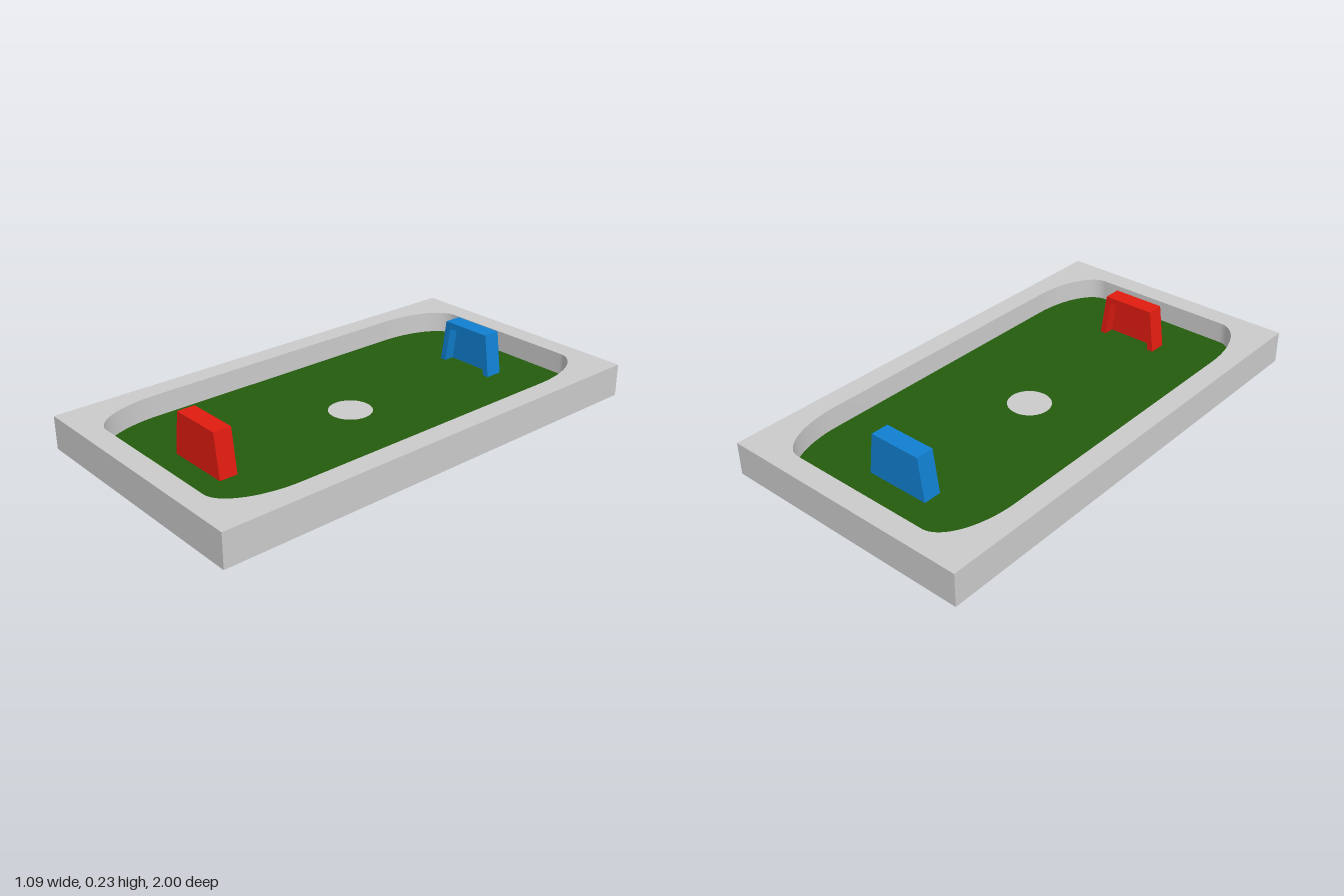
import * as THREE from 'three';
import { toCreasedNormals } from 'three/addons/utils/BufferGeometryUtils.js';

const RIM_Y = 0.138, FLOOR_Y = 0.047;
const HALF_X = 0.545, HALF_Z = 1;

const grey = new THREE.MeshStandardMaterial({ color: 0xcccccc });
const green = new THREE.MeshStandardMaterial({ color: 0x245c0e });
const red = new THREE.MeshStandardMaterial({ color: 0xe01c10 });
const blue = new THREE.MeshStandardMaterial({ color: 0x107fd0 });

function addMesh(parent, name, geometry, material) {
  const mesh = new THREE.Mesh(geometry, material);
  mesh.name = name;
  parent.add(mesh);
  return mesh;
}

// Rectangle with elliptical corners, drawn in plan
function pitchOutline(PathType) {
  const x = 0.457, z = 0.91, rx = 0.145, rz = 0.3;
  const p = new PathType();
  p.moveTo(x, -z + rz);
  p.absellipse(x - rx, z - rz, rx, rz, 0, Math.PI / 2);
  p.absellipse(-x + rx, z - rz, rx, rz, Math.PI / 2, Math.PI);
  p.absellipse(-x + rx, -z + rz, rx, rz, Math.PI, Math.PI * 1.5);
  p.absellipse(x - rx, -z + rz, rx, rz, Math.PI * 1.5, Math.PI * 2);
  p.closePath();
  return p;
}

function polygon(points) {
  return new THREE.Shape(points.map(([x, y]) => new THREE.Vector2(x, y)));
}

// Goal with a tapered arch in front (+z) and a solid panel behind
function makeGoal(name, material) {
  const goal = new THREE.Group();
  goal.name = name;
  const height = 0.2285 - FLOOR_Y, bottom = 0.139, top = 0.1137;
  const depth = 0.076, panelDepth = 0.03;
  const post = 0.027, innerY = height - 0.028;
  const innerBottom = bottom - post;
  const innerTop = innerBottom - (bottom - top) * innerY / height;

  const panel = polygon([[-bottom, 0], [bottom, 0], [top, height], [-top, height]]);
  const arch = polygon([
    [-bottom, 0], [-innerBottom, 0], [-innerTop, innerY], [innerTop, innerY],
    [innerBottom, 0], [bottom, 0], [top, height], [-top, height],
  ]);
  const extrude = (shape, d) => new THREE.ExtrudeGeometry(shape, { depth: d, bevelEnabled: false });
  addMesh(goal, 'goalBackPanel', extrude(panel, panelDepth), material).position.z = -depth / 2;
  addMesh(goal, 'goalFrame', extrude(arch, depth - panelDepth), material).position.z = -depth / 2 + panelDepth;
  return goal;
}

export function createModel() {
  const model = new THREE.Group();
  model.name = 'playingField';

  // Rim block with the rounded opening
  const rim = polygon([[-HALF_X, -HALF_Z], [HALF_X, -HALF_Z], [HALF_X, HALF_Z], [-HALF_X, HALF_Z]]);
  rim.holes.push(pitchOutline(THREE.Path));
  const rimGeometry = new THREE.ExtrudeGeometry(rim, { depth: RIM_Y, bevelEnabled: false, curveSegments: 24 });
  rimGeometry.rotateX(-Math.PI / 2);
  addMesh(model, 'rim', toCreasedNormals(rimGeometry, Math.PI / 6), grey);

  // Underside closing the opening
  addMesh(model, 'underside', new THREE.ShapeGeometry(pitchOutline(THREE.Shape), 24).rotateX(Math.PI / 2), grey);

  // Green floor with the centre spot let into it
  const floor = pitchOutline(THREE.Shape);
  const spotHole = new THREE.Path();
  spotHole.absarc(0, 0, 0.09, 0, Math.PI * 2);
  floor.holes.push(spotHole);
  const floorGeometry = new THREE.ShapeGeometry(floor, 24).rotateX(-Math.PI / 2);
  addMesh(model, 'pitchFloor', floorGeometry, green).position.y = FLOOR_Y;
  const spotGeometry = new THREE.CircleGeometry(0.09, 48).rotateX(-Math.PI / 2);
  addMesh(model, 'centreSpot', spotGeometry, grey).position.y = FLOOR_Y;

  // Goals facing each other
  const blueGoal = makeGoal('blueGoal', blue);
  blueGoal.position.set(0, FLOOR_Y, -0.69);
  const redGoal = makeGoal('redGoal', red);
  redGoal.position.set(0, FLOOR_Y, 0.69);
  redGoal.rotation.y = Math.PI;
  model.add(blueGoal, redGoal);

  return model;
}
